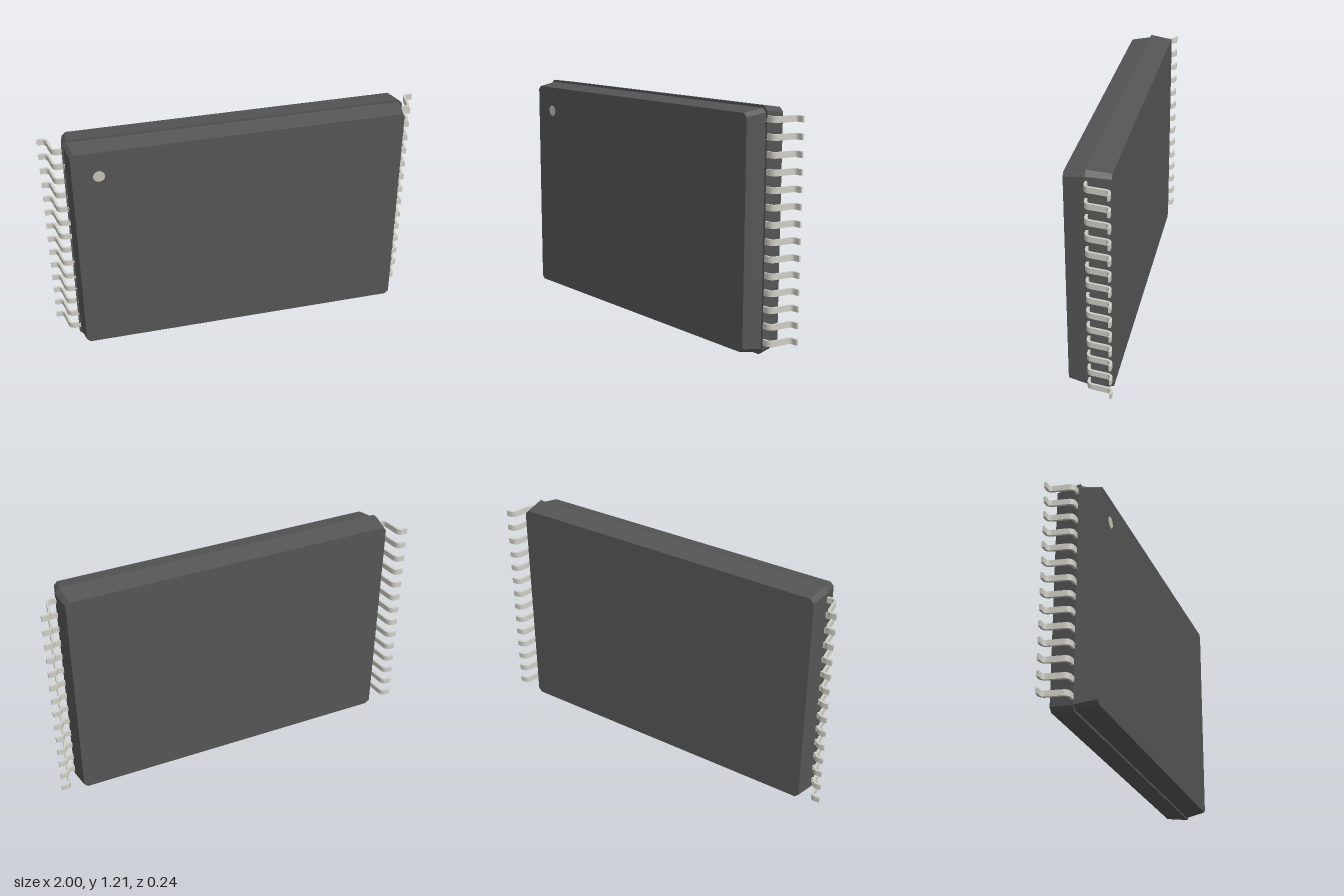
import * as THREE from 'three';
import { ConvexGeometry } from 'three/addons/geometries/ConvexGeometry.js';

const CENTER_Y = 0.606;
const PARTING_Z = 0.014;
const LEADS = 14, PITCH = 0.0834, LEAD_WIDTH = 0.03, THICKNESS = 0.012;

// Eight corners of a rectangle with cut corners, at depth z
function chamferedLoop(halfW, halfH, cut, z) {
  const points = [];
  for (const sx of [-1, 1]) for (const sy of [-1, 1]) {
    points.push(new THREE.Vector3(sx * halfW, sy * (halfH - cut), z));
    points.push(new THREE.Vector3(sx * (halfW - cut), sy * halfH, z));
  }
  return points;
}

// Gull-wing strip: flat shoulder, slanted leg, flat foot, thickened along its normals
function leadGeometry() {
  const v = (x, z) => new THREE.Vector2(x, z);
  const path = new THREE.CurvePath();
  path.add(new THREE.LineCurve(v(0.87, 0.008), v(0.912, 0.008)));
  path.add(new THREE.QuadraticBezierCurve(v(0.912, 0.008), v(0.936, 0.008), v(0.940, -0.018)));
  path.add(new THREE.LineCurve(v(0.940, -0.018), v(0.951, -0.089)));
  path.add(new THREE.QuadraticBezierCurve(v(0.951, -0.089), v(0.955, -0.115), v(0.976, -0.115)));
  path.add(new THREE.LineCurve(v(0.976, -0.115), v(1.0, -0.115)));

  const upper = [], lower = [];
  path.curves.forEach((curve, i) => {
    const steps = curve.isLineCurve ? 1 : 6;
    for (let k = i ? 1 : 0; k <= steps; k++) {
      const p = curve.getPoint(k / steps), t = curve.getTangent(k / steps);
      const n = v(-t.y, t.x).multiplyScalar(THICKNESS / 2);
      upper.push(p.clone().add(n));
      lower.unshift(p.clone().sub(n));
    }
  });
  const geo = new THREE.ExtrudeGeometry(new THREE.Shape([...lower, ...upper]), {
    depth: LEAD_WIDTH, bevelEnabled: false,
  });
  geo.translate(0, 0, -LEAD_WIDTH / 2);
  geo.rotateX(Math.PI / 2);
  return geo;
}

export function createModel() {
  const model = new THREE.Group();
  model.name = 'chipPackage';
  const bodyMat = new THREE.MeshStandardMaterial({ color: 0x555555, flatShading: true });
  const leadMat = new THREE.MeshStandardMaterial({ color: 0xcfcec6 });
  const dotMat = new THREE.MeshStandardMaterial({ color: 0xc4c0b6 });

  // Two tapered moulded halves, the back one slightly larger at the parting line
  const addHalf = (name, inner, outer) => {
    const mesh = new THREE.Mesh(new ConvexGeometry([...inner, ...outer]), bodyMat);
    mesh.name = name;
    mesh.position.y = CENTER_Y;
    model.add(mesh);
  };
  addHalf('frontBody', chamferedLoop(0.882, 0.594, 0.02, PARTING_Z), chamferedLoop(0.865, 0.577, 0.018, 0.121));
  addHalf('backBody', chamferedLoop(0.892, 0.606, 0.024, PARTING_Z), chamferedLoop(0.876, 0.590, 0.02, -0.105));

  // Pin-one marker
  const dot = new THREE.Mesh(new THREE.CircleGeometry(0.03, 32), dotMat);
  dot.name = 'pinOneMarker';
  dot.position.set(-0.73, 1.05, 0.1218);
  model.add(dot);

  // Rows of leads on both sides
  const geo = leadGeometry();
  for (const side of [1, -1]) {
    const row = new THREE.Group();
    row.name = side > 0 ? 'leftLeads' : 'rightLeads';
    for (let i = 0; i < LEADS; i++) {
      const lead = new THREE.Mesh(geo, leadMat);
      lead.name = 'lead';
      lead.position.y = CENTER_Y + 0.003 + (i - (LEADS - 1) / 2) * PITCH;
      if (side < 0) lead.rotation.z = Math.PI;
      row.add(lead);
    }
    model.add(row);
  }
  return model;
}
